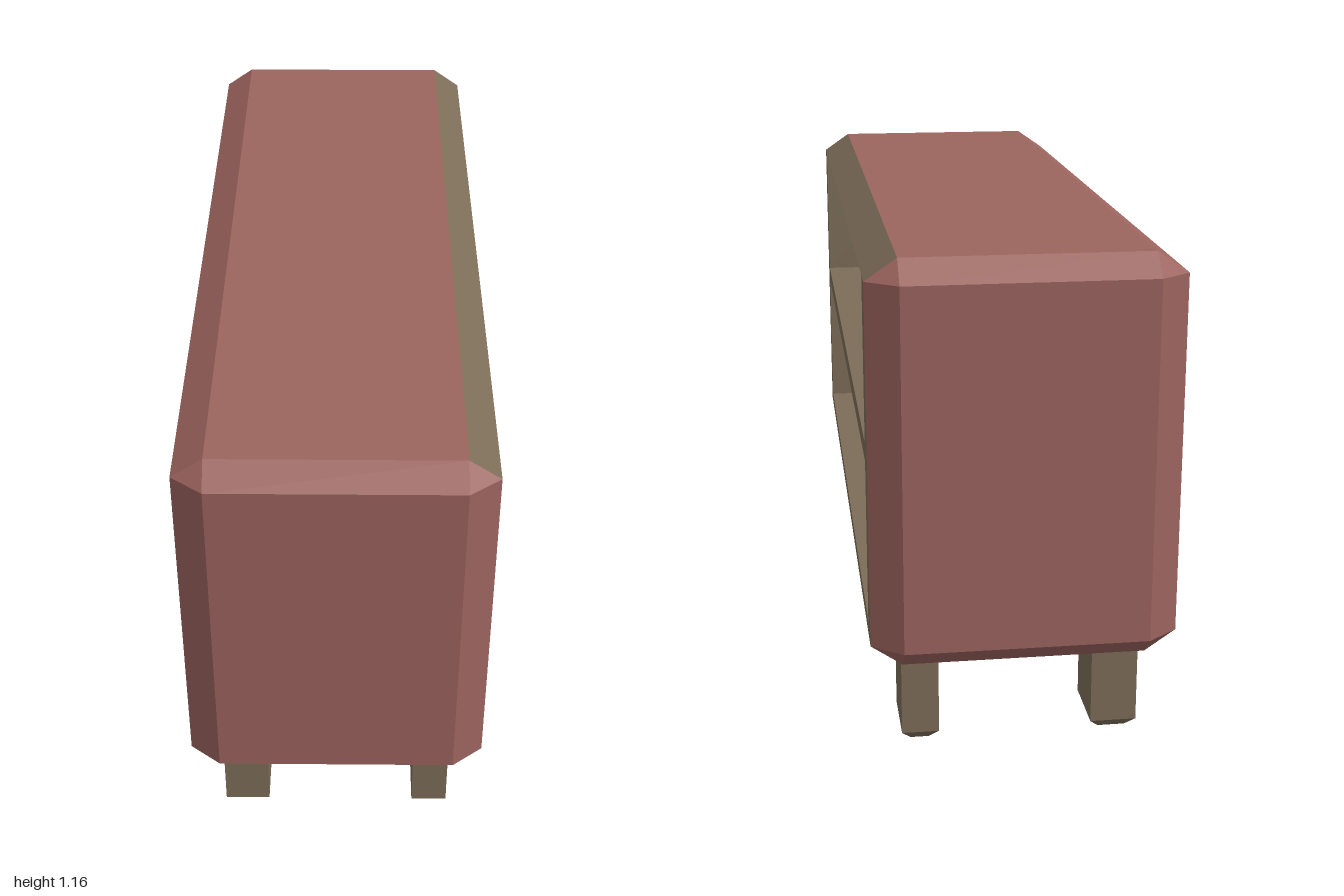
import * as THREE from 'three';

const red = new THREE.MeshStandardMaterial({ color: 0x9c645e });
red.name = 'dusty red paint';
const tan = new THREE.MeshStandardMaterial({ color: 0x7d6d59 });
tan.name = 'brown wood';

// Flat convex polygons, each turned to face its given direction
function facets(name, material, list) {
  const pos = [];
  for (const { pts, dir } of list) {
    const p = pts.map((q) => new THREE.Vector3(...q));
    const n = p[1].clone().sub(p[0]).cross(p[2].clone().sub(p[0]));
    if (n.dot(new THREE.Vector3(...dir)) < 0) p.reverse();
    for (let i = 1; i < p.length - 1; i++) {
      for (const v of [p[0], p[i], p[i + 1]]) pos.push(v.x, v.y, v.z);
    }
  }
  const geo = new THREE.BufferGeometry();
  geo.setAttribute('position', new THREE.Float32BufferAttribute(pos, 3));
  geo.computeVertexNormals();
  const mesh = new THREE.Mesh(geo, material);
  mesh.name = name;
  return mesh;
}

// Body half sizes, chamfers and centre height
const HALF = [0.347, 0.464, 1];
const CUT = [0.071, 0.049, 0.053];
const MID_Y = 0.698;

// Corner point of the chamfered box lying on the face of the given axis
function corner(s, axis) {
  const p = s.map((v, i) => v * (HALF[i] - (i === axis ? 0 : CUT[i])));
  p[1] += MID_Y;
  return p;
}

function shellFacets() {
  const redList = [];
  const tanList = [];
  for (let a = 0; a < 3; a++) {
    const b = (a + 1) % 3;
    const c = (a + 2) % 3;
    const sign = (sa, sb, sc) => {
      const s = [0, 0, 0];
      s[a] = sa; s[b] = sb; s[c] = sc;
      return s;
    };
    for (const s1 of [-1, 1]) {
      // Large faces; the open +x side is framed separately
      if (!(a === 0 && s1 === 1)) {
        const pts = [[-1, -1], [1, -1], [1, 1], [-1, 1]].map(([u, v]) => corner(sign(s1, u, v), a));
        redList.push({ pts, dir: sign(s1, 0, 0) });
      }
      // Edge chamfers between face a and face b
      for (const s2 of [-1, 1]) {
        const lo = sign(s1, s2, -1);
        const hi = sign(s1, s2, 1);
        const pts = [corner(lo, a), corner(hi, a), corner(hi, b), corner(lo, b)];
        const wooden = a === 0 && s1 === 1 && s2 === 1;
        (wooden ? tanList : redList).push({ pts, dir: sign(s1, s2, 0) });
      }
    }
  }
  // Corner triangles
  for (const x of [-1, 1]) for (const y of [-1, 1]) for (const z of [-1, 1]) {
    const s = [x, y, z];
    redList.push({ pts: [0, 1, 2].map((axis) => corner(s, axis)), dir: s });
  }
  return { redList, tanList };
}

// Rectangle facing +x
const panel = (x, y0, y1, z0, z1) => ({
  pts: [[x, y0, z0], [x, y1, z0], [x, y1, z1], [x, y0, z1]], dir: [1, 0, 0],
});

// Inside of one shelf compartment, open toward +x
function compartment(name, y0, y1, z, xBack, xFront) {
  const level = (y, d) => ({
    pts: [[xBack, y, -z], [xFront, y, -z], [xFront, y, z], [xBack, y, z]], dir: [0, d, 0],
  });
  const end = (zz, d) => ({
    pts: [[xBack, y0, zz], [xFront, y0, zz], [xFront, y1, zz], [xBack, y1, zz]], dir: [0, 0, d],
  });
  return facets(name, tan, [
    panel(xBack, y0, y1, -z, z), level(y0, 1), level(y1, -1), end(z, -1), end(-z, 1),
  ]);
}

// Square leg with a chamfered foot
function leg(name, x0, x1, z0, z1) {
  const ring = (y, i) => [[x0 + i, y, z0 + i], [x1 - i, y, z0 + i], [x1 - i, y, z1 - i], [x0 + i, y, z1 - i]];
  const rings = [ring(0, 0.022), ring(0.024, 0), ring(0.24, 0)];
  const dirs = [[0, 0, -1], [1, 0, 0], [0, 0, 1], [-1, 0, 0]];
  const list = [{ pts: rings[0], dir: [0, -1, 0] }, { pts: rings[2], dir: [0, 1, 0] }];
  for (let r = 0; r < 2; r++) {
    dirs.forEach((dir, i) => {
      const j = (i + 1) % 4;
      list.push({ pts: [rings[r][i], rings[r][j], rings[r + 1][j], rings[r + 1][i]], dir });
    });
  }
  return facets(name, tan, list);
}

export function createModel() {
  const group = new THREE.Group();
  group.name = 'openCabinet';

  const { redList, tanList } = shellFacets();
  group.add(facets('cabinetShell', red, redList));
  group.add(facets('frontTopTrim', tan, tanList));

  // Frame around the two openings
  const x = HALF[0];
  const bottom = MID_Y - HALF[1] + CUT[1];
  const top = MID_Y + HALF[1] - CUT[1];
  const zFace = HALF[2] - CUT[2];
  const zOpen = 0.882;
  group.add(facets('openingFrame', tan, [
    panel(x, bottom, 0.314, -zFace, zFace),
    panel(x, 0.697, 0.74, -zOpen, zOpen),
    panel(x, 0.314, top, zOpen, zFace),
    panel(x, 0.314, top, -zFace, -zOpen),
  ]));
  group.add(compartment('lowerShelf', 0.314, 0.697, zOpen, -0.035, x));
  group.add(compartment('upperShelf', 0.74, top, zOpen, -0.035, x));

  // Four legs
  for (const [side, x0, x1] of [['back', -0.278, -0.17], ['front', 0.188, 0.274]]) {
    group.add(leg(side + 'LegA', x0, x1, 0.712, 0.886));
    group.add(leg(side + 'LegB', x0, x1, -0.878, -0.722));
  }
  return group;
}
